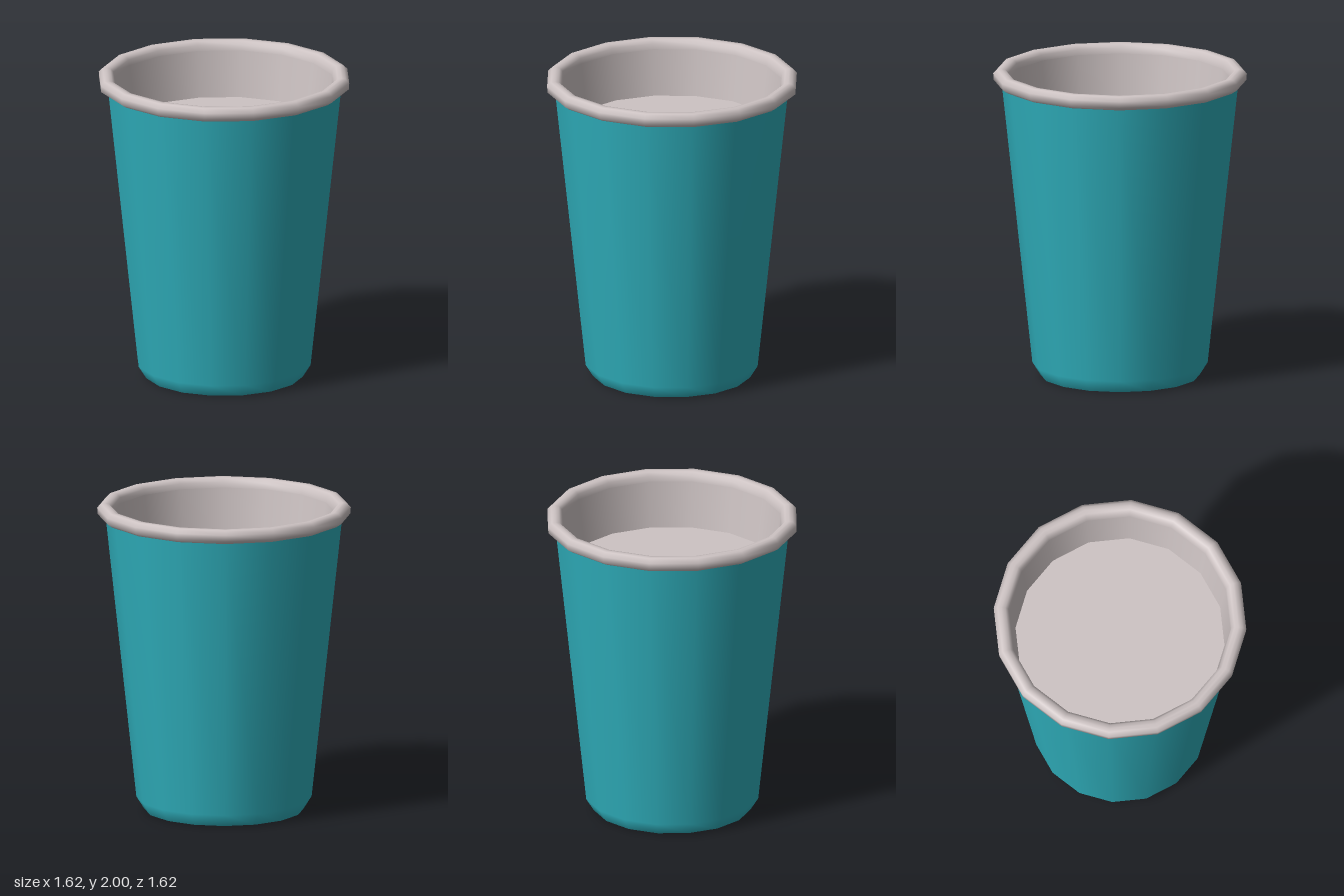
import * as THREE from 'three';

const SIDES = 16;

export function createModel() {
  const teal = new THREE.MeshStandardMaterial({ color: 0x2fafbc });
  teal.name = 'teal';
  const grey = new THREE.MeshStandardMaterial({ color: 0xcdc3c3 });
  grey.name = 'warmGrey';

  const cup = new THREE.Group();
  cup.name = 'cup';

  const add = (name, geometry, material) => {
    const mesh = new THREE.Mesh(geometry, material);
    mesh.name = name;
    cup.add(mesh);
    return mesh;
  };
  // Profiles run up the outside and down the inside, as [radius, height]
  const lathe = (profile) =>
    new THREE.LatheGeometry(profile.map(([r, y]) => new THREE.Vector2(r, y)), SIDES);
  const disc = (name, radius, y, tilt) => {
    const mesh = add(name, new THREE.CircleGeometry(radius, SIDES), grey);
    mesh.rotation.x = tilt;
    mesh.position.y = y;
  };

  // Tapered outer wall with a bevelled foot
  add('outerWall', lathe([[0.51, 0], [0.56, 0.08], [0.757, 1.92]]), teal);

  // Rolled lip
  add('rim', lathe([
    [0.75, 1.905], [0.775, 1.908], [0.807, 1.93], [0.81, 1.972], [0.785, 1.998],
    [0.76, 2], [0.735, 1.996], [0.715, 1.975], [0.709, 1.94],
  ]), grey);

  // Inside wall, down to the raised inner surface
  add('innerWall', lathe([[0.709, 1.94], [0.67, 1.64]]), grey);
  disc('innerFloor', 0.67, 1.64, -Math.PI / 2);

  // Underside
  disc('base', 0.51, 0, Math.PI / 2);

  return cup;
}
